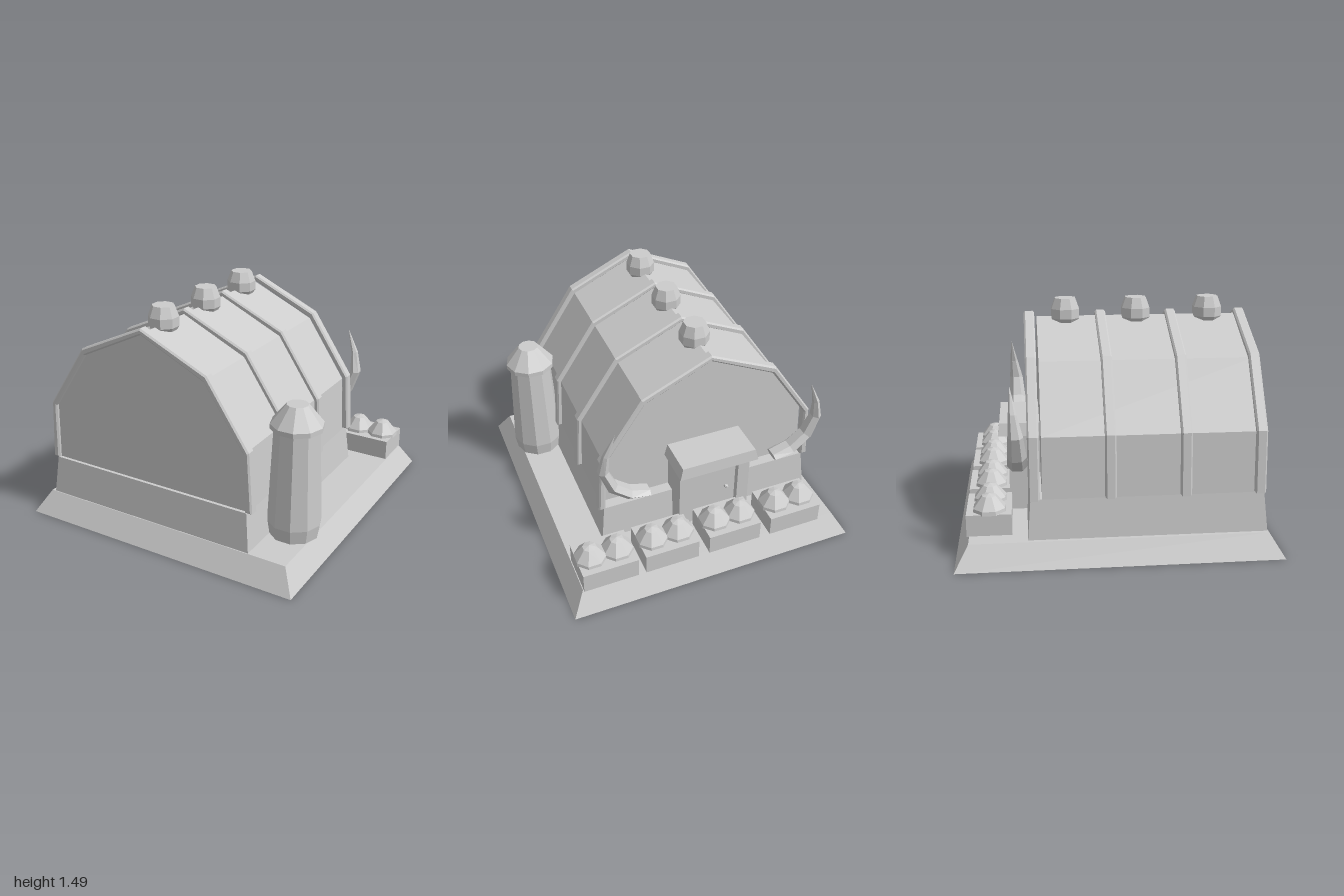
import * as THREE from 'three';

const CX = -0.113; // centre line of the barn
const stone = new THREE.MeshStandardMaterial({ color: 0xcccccc, flatShading: true, side: THREE.DoubleSide });
stone.name = 'light grey';

export function createModel() {
  const model = new THREE.Group();
  const add = (name, geometry, x = 0, y = 0, z = 0) => {
    const mesh = new THREE.Mesh(geometry, stone);
    mesh.name = name;
    mesh.position.set(x, y, z);
    model.add(mesh);
    return mesh;
  };

  // Box given by its limits
  const block = (name, x0, x1, y0, y1, z0, z1) =>
    add(name, new THREE.BoxGeometry(x1 - x0, y1 - y0, z1 - z0), (x0 + x1) / 2, (y0 + y1) / 2, (z0 + z1) / 2);

  // Sloped box: rectangles [x0, x1, z0, z1] at heights y0 and y1
  const frustum = (low, high, y0, y1, openBottom = false) => {
    const g = new THREE.BoxGeometry(1, 1, 1);
    const p = g.attributes.position;
    for (let i = 0; i < p.count; i++) {
      const top = p.getY(i) > 0;
      const r = top ? high : low;
      p.setXYZ(i, p.getX(i) < 0 ? r[0] : r[1], top ? y1 : y0, p.getZ(i) < 0 ? r[2] : r[3]);
    }
    if (openBottom) {
      const index = Array.from(g.index.array);
      index.splice(18, 6);
      g.setIndex(index);
      g.clearGroups();
    }
    g.computeVertexNormals();
    return g;
  };

  const lathe = (profile, sides) => new THREE.LatheGeometry(
    profile.map(([r, y]) => new THREE.Vector2(r, y)), sides, Math.PI / sides);

  // Ground plinth and barn foundation
  add('plinth', frustum([-0.965, 0.965, -1, 1], [-0.88, 0.88, -0.915, 0.91], 0, 0.145, true));
  add('foundation', frustum([CX - 0.742, CX + 0.742, -0.56, 0.905], [CX - 0.715, CX + 0.715, -0.54, 0.88], 0.143, 0.395));

  // Gambrel hall
  const mirrored = half => [...half, ...half.slice(0, -1).reverse().map(([x, y]) => [-x, y])];
  const shapeOf = pts => new THREE.Shape(pts.map(([x, y]) => new THREE.Vector2(x, y)));
  const wall = mirrored([[-0.72, 0.395], [-0.7, 0.775], [-0.435, 1.17], [0, 1.37]]);
  add('hall', new THREE.ExtrudeGeometry(shapeOf(wall), { depth: 1.33, bevelEnabled: false }), CX, 0, -0.47);

  // Bevelled ribs over the roof
  const outer = mirrored([[-0.752, 0.395], [-0.728, 0.785], [-0.45, 1.2], [0, 1.405]]);
  const inner = mirrored([[-0.705, 0.395], [-0.692, 0.77], [-0.43, 1.16], [0, 1.365]]);
  const ribShape = shapeOf([...outer, ...inner.reverse()]);
  for (const z of [0.85, 0.395, -0.06, -0.518]) {
    const g = new THREE.ExtrudeGeometry(ribShape, {
      depth: 0.048, bevelEnabled: true, bevelSegments: 1, bevelThickness: 0.01, bevelSize: 0.01, bevelOffset: -0.01,
    });
    add('roofRib', g, CX, 0, z - 0.024);
  }

  // Roof vents along the ridge
  const vent = lathe([[0.08, 1.335], [0.096, 1.36], [0.096, 1.42], [0.07, 1.488], [0, 1.488]], 8);
  for (const z of [0.64, 0.17, -0.285]) add('roofVent', vent, CX, 0, z);

  // Side tower with overhanging cap
  add('tower', lathe([[0, 0.145], [0.155, 0.145], [0.169, 0.235], [0.14, 0.85]], 10), 0.75, 0, 0.545);
  add('towerCap', lathe([[0.138, 0.845], [0.163, 0.85], [0.163, 0.88], [0.067, 1.0], [0, 1.0]], 10), 0.75, 0, 0.545);

  // Back porch: posts, lintel, door and knob
  for (const s of [-1, 1]) {
    const x = CX + s * 0.205;
    block('doorPost', x - 0.04, x + 0.04, 0.145, 0.66, -0.67, -0.46);
  }
  block('doorHead', CX - 0.165, CX + 0.165, 0.58, 0.66, -0.67, -0.46);
  add('lintel', frustum([CX - 0.27, CX + 0.27, -0.735, -0.46], [CX - 0.25, CX + 0.25, -0.725, -0.46], 0.65, 0.73));
  block('door', CX - 0.165, CX + 0.165, 0.145, 0.58, -0.63, -0.46);
  add('doorKnob', new THREE.IcosahedronGeometry(0.016, 0), CX - 0.1, 0.39, -0.64);

  // Planters with two faceted bushes each
  const bush = lathe([[0.108, 0.275], [0.104, 0.3], [0.045, 0.372], [0, 0.385]], 8);
  for (const x of [-0.585, -0.15, 0.285, 0.695]) {
    block('planter', x - 0.18, x + 0.18, 0.143, 0.28, -0.93, -0.655);
    add('bush', bush, x - 0.087, 0, -0.79).rotation.y = 0;
    add('bush', bush, x + 0.09, 0, -0.79);
  }

  // Curved horns: hexagonal cross-sections swept along a path [x, y, z, halfThickness, halfDepth]
  const path = [
    [-0.44, 0.53, -0.61, 0.025, 0.06], [-0.57, 0.56, -0.612, 0.04, 0.063], [-0.68, 0.65, -0.613, 0.042, 0.058],
    [-0.735, 0.79, -0.618, 0.035, 0.046], [-0.715, 0.92, -0.632, 0.022, 0.026], [-0.657, 1.075, -0.645, 0.001, 0.001],
  ];
  const horn = side => {
    const pos = [], index = [], N = 6;
    path.forEach(([x, y, z, t, d], i) => {
      const a = path[Math.max(i - 1, 0)], b = path[Math.min(i + 1, path.length - 1)];
      const len = Math.hypot(b[0] - a[0], b[1] - a[1]);
      const nx = -(b[1] - a[1]) / len, ny = (b[0] - a[0]) / len;
      for (let k = 0; k < N; k++) {
        const ang = (k / N) * Math.PI * 2, u = Math.sin(ang) * t, w = Math.cos(ang) * d;
        pos.push(side * (x + nx * u), y + ny * u, z + w);
      }
    });
    const tri = (a, b, c) => (side > 0 ? index.push(a, b, c) : index.push(a, c, b));
    for (let i = 0; i < path.length - 1; i++) {
      for (let k = 0; k < N; k++) {
        const a = i * N + k, b = i * N + ((k + 1) % N);
        tri(a, a + N, b);
        tri(b, a + N, b + N);
      }
    }
    for (let k = 1; k < N - 1; k++) tri(0, k, k + 1);
    const g = new THREE.BufferGeometry();
    g.setAttribute('position', new THREE.Float32BufferAttribute(pos, 3));
    g.setIndex(index);
    g.computeVertexNormals();
    return g;
  };
  add('rightHorn', horn(1), CX);
  add('leftHorn', horn(-1), CX);

  return model;
}
